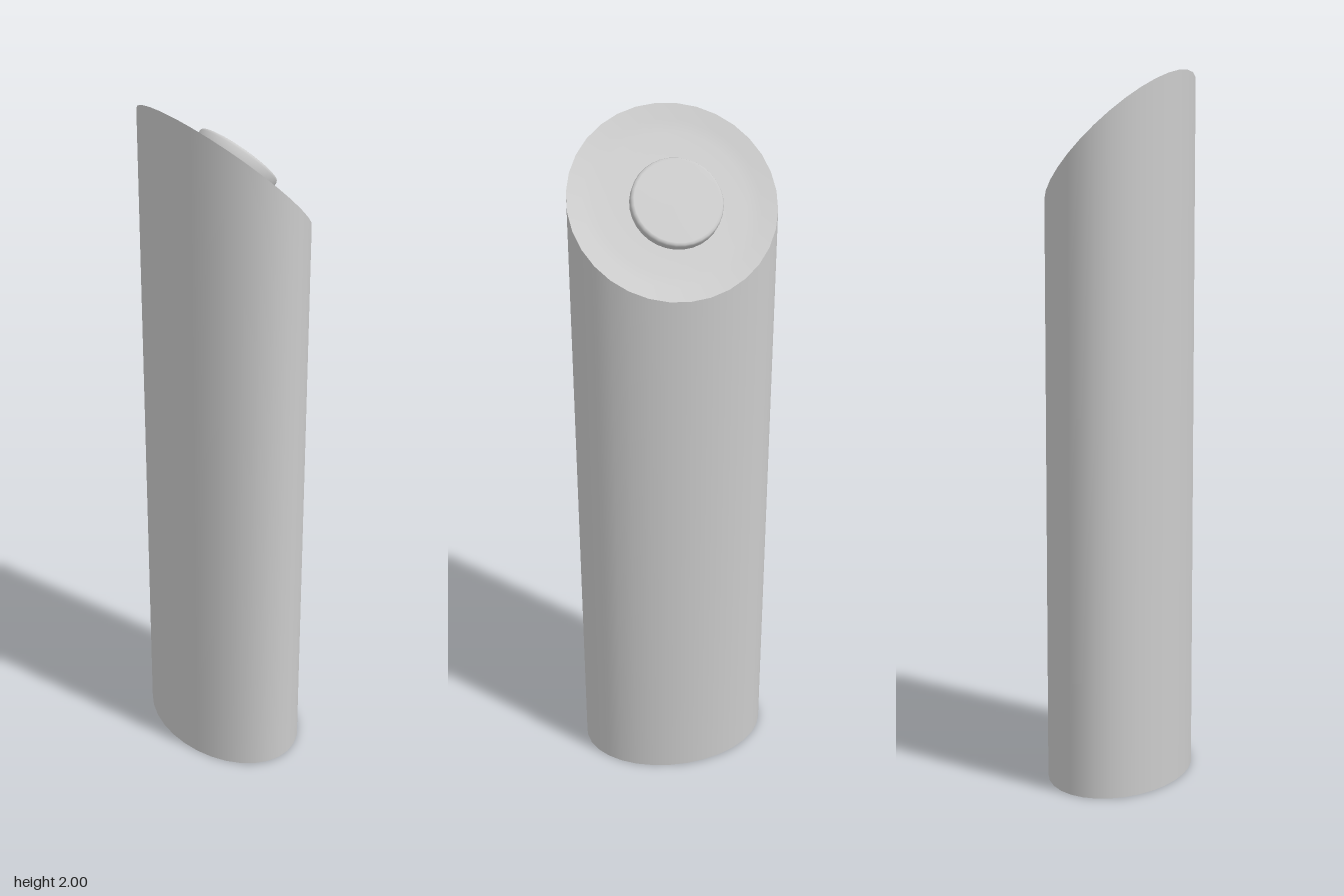
import * as THREE from 'three';

const R = 0.277, DEPTH = 0.196, MID = 1.81, RISE = 0.19, SIDES = 32;

export function createModel() {
  const model = new THREE.Group();
  const material = new THREE.MeshStandardMaterial({ color: 0xcccccc, side: THREE.DoubleSide });

  const add = (parent, geometry, name) => {
    const mesh = new THREE.Mesh(geometry, material);
    mesh.name = name;
    parent.add(mesh);
    return mesh;
  };
  const lathe = (points) =>
    new THREE.LatheGeometry(points.map(([r, y]) => new THREE.Vector2(r, y)), SIDES);

  // Open oval tube, its upper ring sheared to the slant
  const tube = new THREE.CylinderGeometry(R, R, MID, SIDES, 1, true);
  tube.scale(1, 1, DEPTH / R);
  tube.translate(0, MID / 2, 0);
  const pos = tube.attributes.position;
  for (let i = 0; i < pos.count; i++) {
    if (pos.getY(i) > 1) pos.setY(i, MID + (pos.getZ(i) / DEPTH) * RISE);
  }
  add(model, tube, 'tubeBody');

  // Slanted top: everything on it shares one tilted frame
  const top = new THREE.Group();
  top.name = 'slantedTop';
  top.position.y = MID;
  top.rotation.x = -Math.atan2(RISE, DEPTH);
  model.add(top);

  // Shallow dished face closing the tube
  const dish = add(top, lathe([[0, -0.016], [0.12, -0.016], [0.2, -0.015], [0.235, -0.009], [R, 0]]), 'dishedFace');
  dish.scale.z = Math.hypot(DEPTH, RISE) / R;

  // Round button with softened edges on a short stem
  const button = new THREE.Group();
  button.name = 'button';
  button.position.z = -0.02;
  top.add(button);
  add(button, lathe([
    [0, 0.018], [0.112, 0.018], [0.118, 0.02], [0.121, 0.026],
    [0.121, 0.045], [0.118, 0.051], [0.112, 0.053], [0, 0.054],
  ]), 'buttonCap');
  const stem = new THREE.CylinderGeometry(0.045, 0.045, 0.04, SIDES, 1, true);
  stem.translate(0, 0.002, 0);
  add(button, stem, 'buttonStem');

  return model;
}
